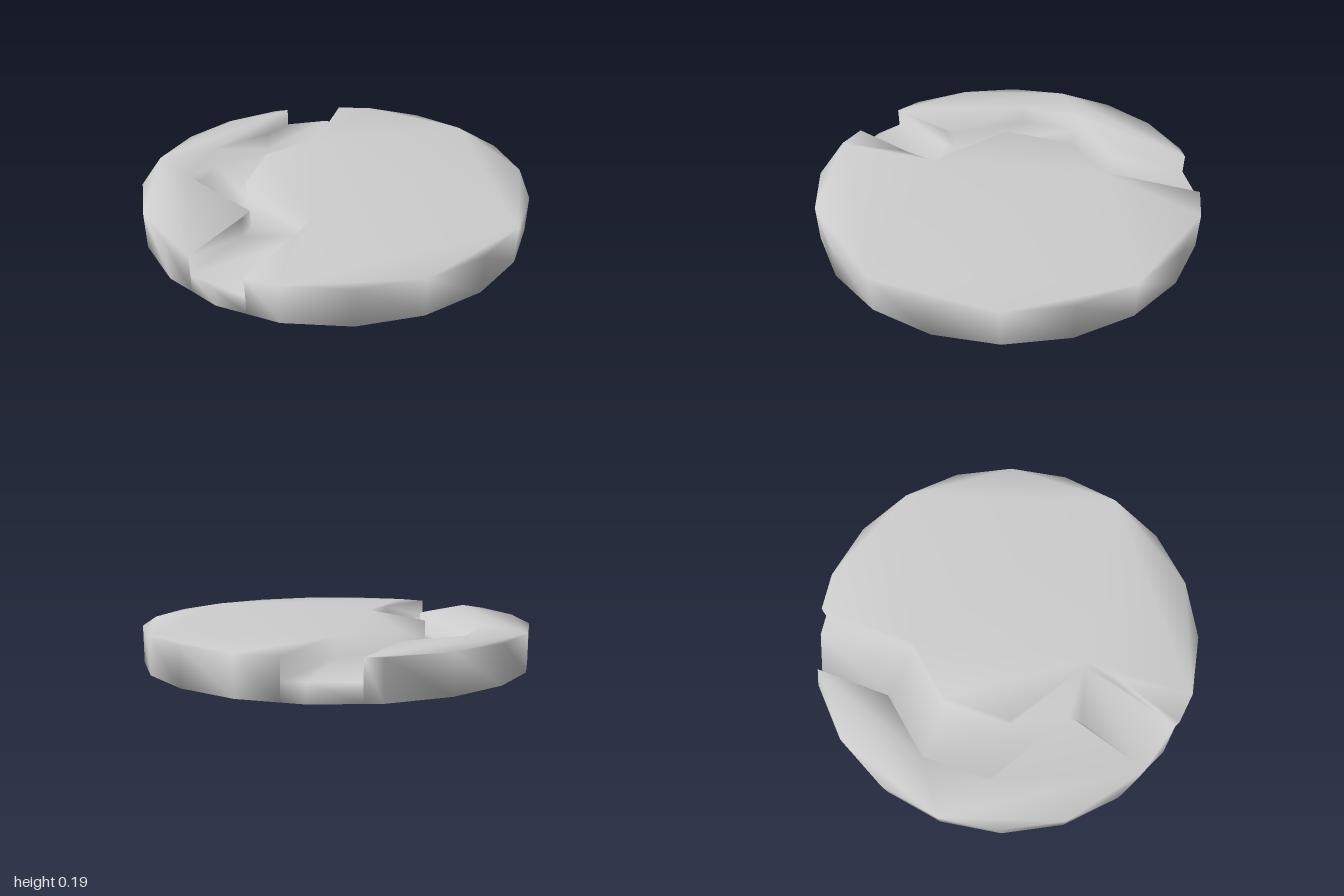
import * as THREE from 'three';
import { mergeVertices } from 'three/addons/utils/BufferGeometryUtils.js';

const SIDES = 20, FLOOR = 0.09, TOP = 0.19;

// Points of the regular rim, numbered from +x towards +z
function rim(from, to) {
  const pts = [];
  for (let k = from; k <= to; k++) {
    const a = ((k % SIDES) / SIDES) * Math.PI * 2;
    pts.push([Math.cos(a), Math.sin(a)]);
  }
  return pts;
}

// Both banks of the zigzag channel in (x, z), running back to front
const westBank = [[-0.75, -0.647], [-0.635, -0.27], [-0.768, 0.065], [-0.655, 0.4], [-0.165, 0.522], [-0.155, 0.6], [-0.155, 0.975]];
const eastBank = [[-0.49, -0.859], [-0.34, -0.36], [-0.475, -0.04], [-0.36, 0.3], [0.128, 0.42], [0.15, 0.6], [0.15, 0.976]];

export function createModel() {
  const positions = [];

  // Upright wall along a path, facing away from the disc
  function wall(path, y0, y1) {
    for (let i = 0; i + 1 < path.length; i++) {
      const [ax, az] = path[i], [bx, bz] = path[i + 1];
      positions.push(ax, y0, az, ax, y1, az, bx, y1, bz);
      positions.push(ax, y0, az, bx, y1, bz, bx, y0, bz);
    }
  }

  // Flat face filling an outline, facing up or down
  function cap(outline, y, up) {
    const pts = outline.map(([x, z]) => new THREE.Vector2(x, z));
    for (const [i, j, k] of THREE.ShapeUtils.triangulateShape(pts, [])) {
      const a = pts[i], b = pts[j], c = pts[k];
      const facesUp = (b.x - a.x) * (c.y - a.y) - (b.y - a.y) * (c.x - a.x) < 0;
      for (const p of facesUp === up ? [a, b, c] : [a, c, b]) positions.push(p.x, y, p.y);
    }
  }

  const west = westBank, east = [...eastBank].reverse();
  const westArc = [west[6], ...rim(6, 12), west[0]];
  const eastArc = [east[6], ...rim(14, 24), east[0]];
  const frontMouth = [east[0], ...rim(5, 5), west[6]];
  const backMouth = [west[0], ...rim(13, 13), east[6]];

  // Two raised plates on either side of the channel
  for (const [arc, bank] of [[westArc, west], [eastArc, east]]) {
    wall(arc, 0, TOP);
    wall(bank, FLOOR, TOP);
    cap([...arc, ...bank.slice(1, -1)], TOP, true);
  }

  // Channel floor and the low rim at its two mouths
  wall(frontMouth, 0, FLOOR);
  wall(backMouth, 0, FLOOR);
  cap([...frontMouth, ...[...west].reverse().slice(1, -1), ...backMouth, ...east.slice().reverse().slice(1, -1)], FLOOR, true);

  // Underside
  cap([...westArc, ...rim(13, 13), ...eastArc, ...rim(5, 5)], 0, false);

  // Shared corners give the soft, rounded shading
  let geometry = new THREE.BufferGeometry();
  geometry.setAttribute('position', new THREE.Float32BufferAttribute(positions, 3));
  geometry = mergeVertices(geometry, 1e-4);
  geometry.computeVertexNormals();

  const disc = new THREE.Mesh(geometry, new THREE.MeshStandardMaterial({ color: 0xcccccc }));
  disc.name = 'channelledDisc';
  const group = new THREE.Group();
  group.name = 'discWithZigzagChannel';
  group.add(disc);
  return group;
}
